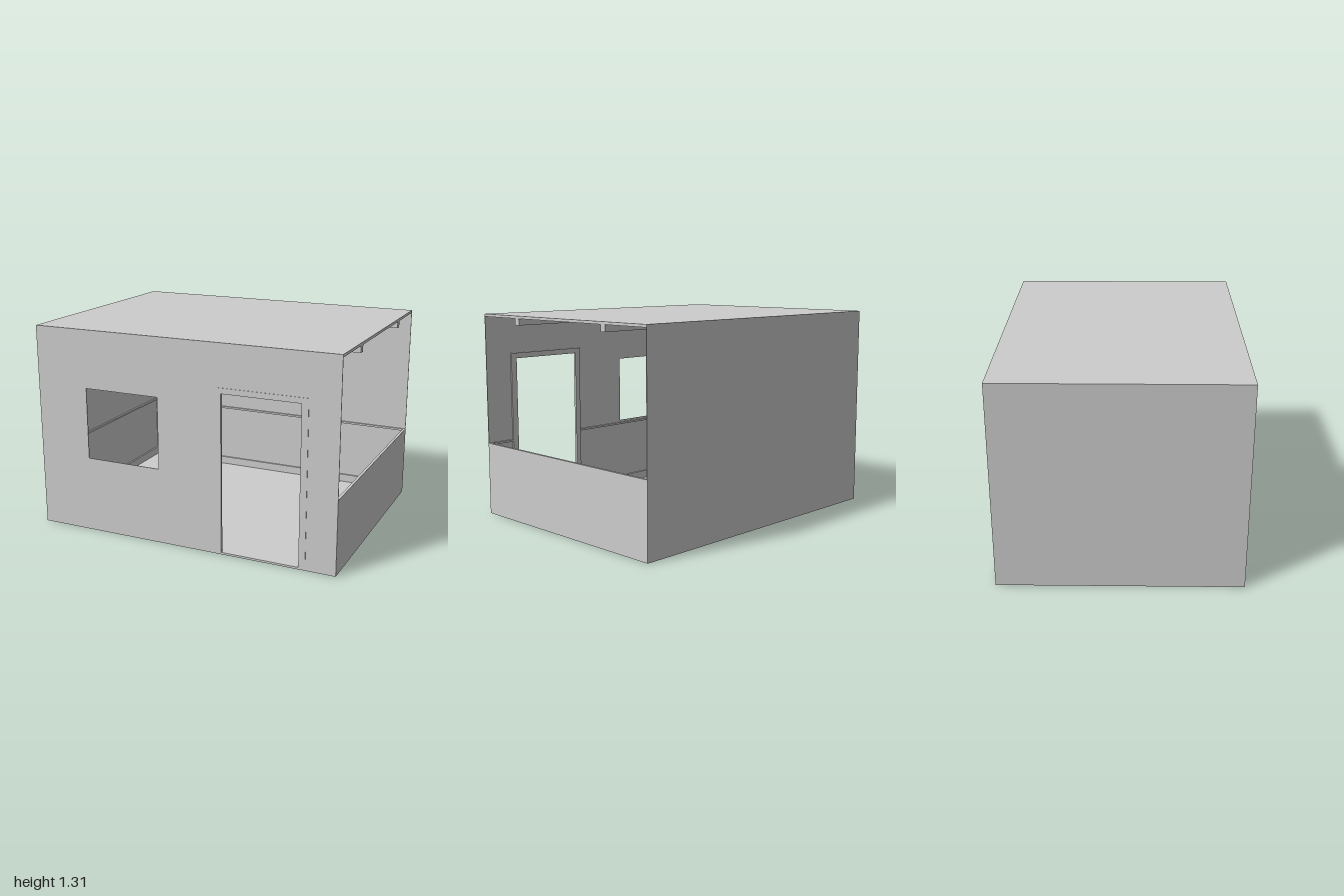
import * as THREE from 'three';

const W = 1, BACK = -0.75, FRONT = 0.747; // outer faces
const T = 0.005;                          // wall thickness
const FLOOR = 0.013, CEILING = 1.293, TOP = 1.31, HALF = 0.47;

export function createModel() {
  const model = new THREE.Group();
  model.name = 'cabin';
  const grey = new THREE.MeshStandardMaterial({ color: 0xcccccc });
  grey.name = 'light grey';

  // Box given by its min and max corners
  const box = (name, x0, x1, y0, y1, z0, z1, parent = model) => {
    const mesh = new THREE.Mesh(new THREE.BoxGeometry(x1 - x0, y1 - y0, z1 - z0), grey);
    mesh.position.set((x0 + x1) / 2, (y0 + y1) / 2, (z0 + z1) / 2);
    mesh.name = name;
    parent.add(mesh);
    return mesh;
  };
  const group = (name) => {
    const g = new THREE.Group();
    g.name = name;
    model.add(g);
    return g;
  };

  // Floor planks
  const floor = group('floor');
  for (let i = 0; i < 10; i++) {
    box('floorPlank', -W + i * 0.2, -W + (i + 1) * 0.2, 0, FLOOR, BACK, FRONT, floor);
  }

  // Front wall with doorway notch and window hole
  const outline = new THREE.Shape([
    [-W, 0], [0.27, 0], [0.27, 1.01], [0.77, 1.01], [0.77, 0], [W, 0], [W, CEILING], [-W, CEILING],
  ].map(([x, y]) => new THREE.Vector2(x, y)));
  outline.holes.push(new THREE.Path([
    [-0.65, 0.485], [-0.65, 0.94], [-0.15, 0.94], [-0.15, 0.485],
  ].map(([x, y]) => new THREE.Vector2(x, y))));
  const frontWall = new THREE.Mesh(
    new THREE.ExtrudeGeometry(outline, { depth: T, bevelEnabled: false }), grey);
  frontWall.position.z = FRONT - T;
  frontWall.name = 'frontWall';
  model.add(frontWall);

  // Other walls; the one on +x is only half height
  box('backWall', -W, W, 0, CEILING, BACK, BACK + T);
  box('rightWall', -W, -W + T, 0, CEILING, BACK + T, FRONT - T);
  box('leftHalfWall', W - T, W, 0, HALF, BACK + T, FRONT - T);

  // Inner skirting and rail around the room, broken at the door
  const trim = (name, y0, y1, d) => {
    const g = group(name);
    const zb = BACK + T, zf = FRONT - T;
    box(name + 'Back', -W + T, W - T, y0, y1, zb, zb + d, g);
    box(name + 'Right', -W + T, -W + T + d, y0, y1, zb + d, zf - d, g);
    box(name + 'Left', W - T - d, W - T, y0, y1, zb + d, zf - d, g);
    box(name + 'FrontA', -W + T, 0.235, y0, y1, zf - d, zf, g);
    box(name + 'FrontB', 0.81, W - T, y0, y1, zf - d, zf, g);
  };
  trim('skirting', FLOOR, 0.067, 0.012);
  trim('rail', 0.457, HALF, 0.012);

  // Door frame wrapping the doorway
  const frame = group('doorFrame');
  box('doorPostA', 0.235, 0.272, FLOOR, 1.01, 0.733, 0.75, frame);
  box('doorPostB', 0.77, 0.812, FLOOR, 1.01, 0.733, 0.75, frame);
  box('doorLintel', 0.235, 0.812, 1.01, 1.045, 0.733, 0.75, frame);

  // Flat roof with two beams below
  box('roof', -W, W, CEILING, TOP, BACK, FRONT);
  for (const z of [-0.4, 0.4]) box('roofBeam', -W + T, W, 1.252, CEILING, z - 0.02, z + 0.02);

  return model;
}
